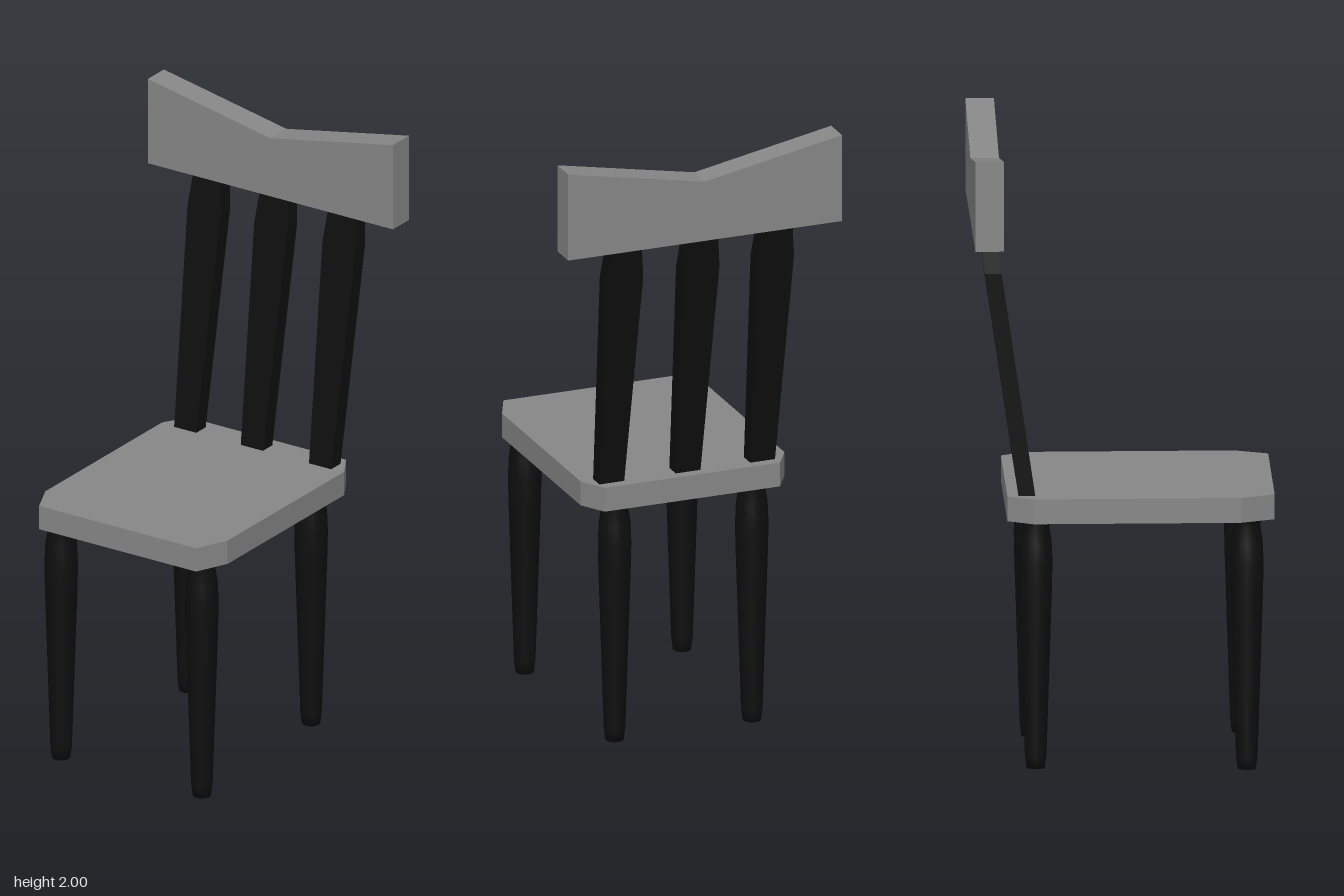
import * as THREE from 'three';

const grey = new THREE.MeshStandardMaterial({ color: 0x878787, flatShading: true });
const black = new THREE.MeshStandardMaterial({ color: 0x0e0e0e });

// Extrudes an outline of [x, y] points by the given depth
function slab(points, depth) {
  const shape = new THREE.Shape(points.map(([x, y]) => new THREE.Vector2(x, y)));
  return new THREE.ExtrudeGeometry(shape, { depth, bevelEnabled: false });
}

// Repeats the right half of an outline, mirrored, to close it
function mirrored(half) {
  return [...half, ...half.map(([x, y]) => [-x, y]).reverse()];
}

function add(group, name, geometry, material, x = 0, y = 0, z = 0) {
  const mesh = new THREE.Mesh(geometry, material);
  mesh.name = name;
  mesh.position.set(x, y, z);
  group.add(mesh);
}

export function createModel() {
  const chair = new THREE.Group();
  chair.name = 'chair';

  // Seat: board with clipped corners, laid flat (outline y becomes -z)
  const seat = slab(mirrored([[0.298, -0.472], [0.346, -0.366], [0.346, 0.288], [0.298, 0.369]]), 0.08);
  seat.rotateX(-Math.PI / 2);
  add(chair, 'seat', seat, grey, 0, 0.806, 0);

  // Legs: turned posts with a small collar under the seat, front pair set wider
  const profile = [
    [0, 0], [0.029, 0], [0.034, 0.04], [0.051, 0.57], [0.053, 0.66], [0.05, 0.73], [0.042, 0.785], [0.049, 0.806],
  ].map(([r, y]) => new THREE.Vector2(r, y));
  const leg = new THREE.LatheGeometry(profile, 20);
  for (const [name, spread, z] of [['front', 0.267, 0.385], ['back', 0.233, -0.278]]) {
    add(chair, name + 'LeftLeg', leg, black, spread - 0.006, 0, z);
    add(chair, name + 'RightLeg', leg, black, -spread - 0.006, 0, z);
  }

  // Back slats: flat tapered boards, sheared to lean backwards
  const slat = slab(mirrored([[0.042, 0], [0.063, 0.72], [0.052, 0.825]]), 0.053);
  const p = slat.attributes.position;
  for (let i = 0; i < p.count; i++) p.setZ(i, p.getZ(i) - 0.148 * p.getY(i));
  slat.computeVertexNormals();
  [['rightSlat', -0.253], ['middleSlat', 0], ['leftSlat', 0.259]].forEach(([name, x]) =>
    add(chair, name, slat, black, x, 0.886, -0.334));

  // Top rail: board with a shallow V cut along its upper edge
  const rail = slab([[-0.465, 1.711], [0.465, 1.711], [0.465, 2], [0, 1.91], [-0.465, 2]], 0.09);
  add(chair, 'topRail', rail, grey, 0, 0, -0.475);

  return chair;
}
